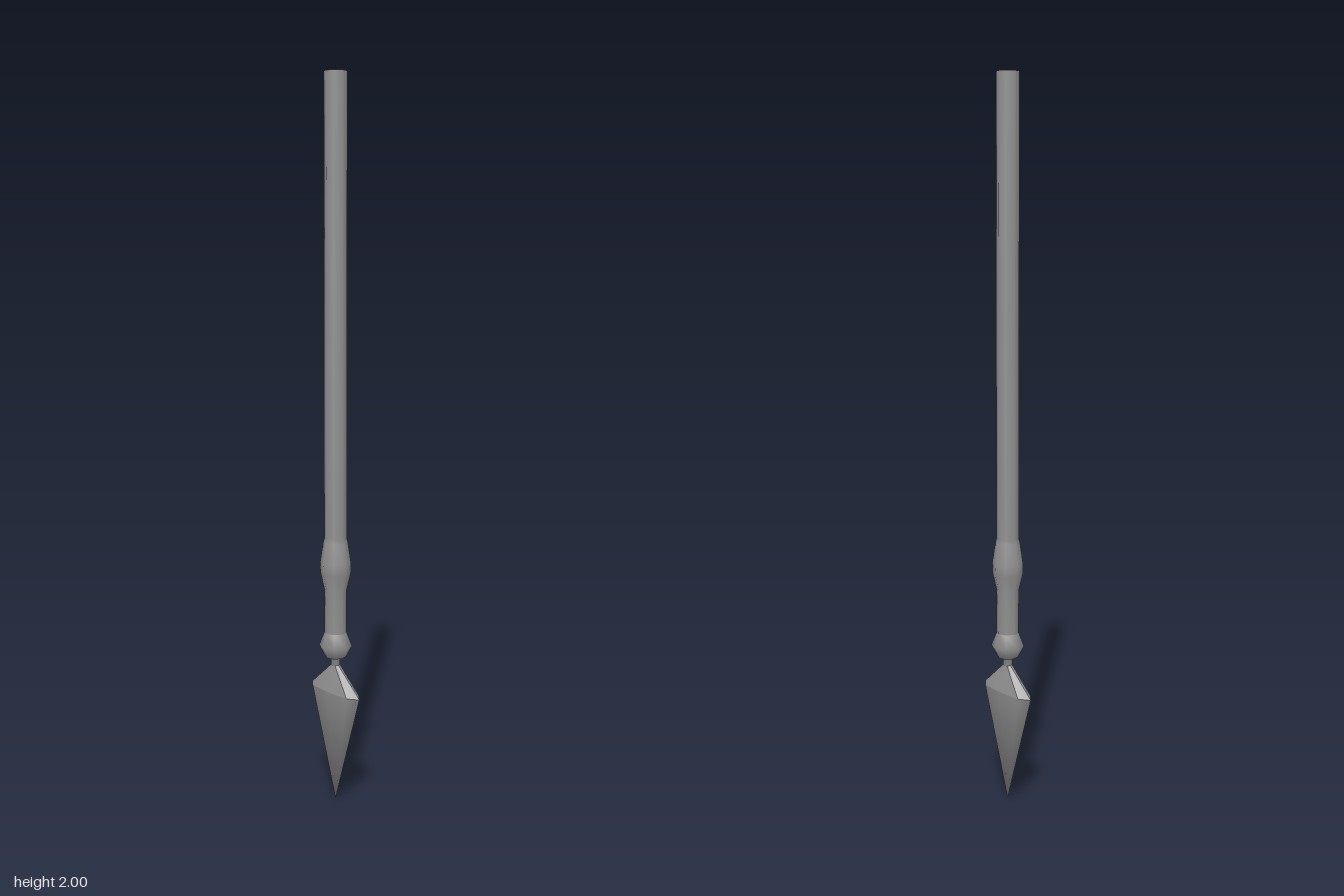
import * as THREE from 'three';
import { mergeVertices, toCreasedNormals } from 'three/addons/utils/BufferGeometryUtils.js';

const material = new THREE.MeshStandardMaterial({ color: 0x909090 });

function part(name, geometry) {
  const mesh = new THREE.Mesh(geometry, material);
  mesh.name = name;
  return mesh;
}

// Eight-sided turned piece from [radius, height] pairs, bottom to top
function turned(profile) {
  return new THREE.LatheGeometry(profile.map(([r, y]) => new THREE.Vector2(r, y)), 8);
}

// Eight-point sections [y, edge x, bevel x, bevel z, ridge z], joined bottom to top
function loft(sections) {
  const positions = [], index = [];
  for (const [y, ex, bx, bz, rz] of sections) {
    const ring = [[ex, 0], [bx, bz], [0, rz], [-bx, bz], [-ex, 0], [-bx, -bz], [0, -rz], [bx, -bz]];
    for (const [x, z] of ring) positions.push(x, y, z);
  }
  for (let s = 0; s < sections.length - 1; s++) {
    for (let i = 0; i < 8; i++) {
      const a = s * 8 + i, b = s * 8 + (i + 1) % 8;
      index.push(a, a + 8, b, b, a + 8, b + 8);
    }
  }
  const geometry = new THREE.BufferGeometry();
  geometry.setAttribute('position', new THREE.Float32BufferAttribute(positions, 3));
  geometry.setIndex(index);
  return geometry;
}

export function createModel() {
  const group = new THREE.Group();
  group.name = 'spear';

  // Long pole with a swelling near the lower end, closed on top
  group.add(part('shaft', turned([
    [0.031, 0.485], [0.031, 0.61], [0.042, 0.655], [0.043, 0.685], [0.034, 0.745], [0.031, 0.757], [0.031, 2], [0, 2],
  ])));

  // Knob and thin neck joining the pole to the blade
  group.add(part('collar', turned([
    [0.013, 0.375], [0.013, 0.415], [0.029, 0.418], [0.046, 0.45], [0.031, 0.488],
  ])));

  // Widest section, shared by both halves of the head
  const rim = [0.32, 0.105, 0.076, 0.022, 0.028];

  // Smooth tapering point with a single shared tip
  const point = mergeVertices(loft([[0, 0, 0, 0, 0], rim]));
  point.computeVertexNormals();
  group.add(part('bladePoint', point));

  // Faceted shoulder rising from the rim to the neck
  group.add(part('bladeShoulder', toCreasedNormals(loft([rim, [0.395, 0.013, 0.009, 0.009, 0.013]]), 0.5)));

  return group;
}
